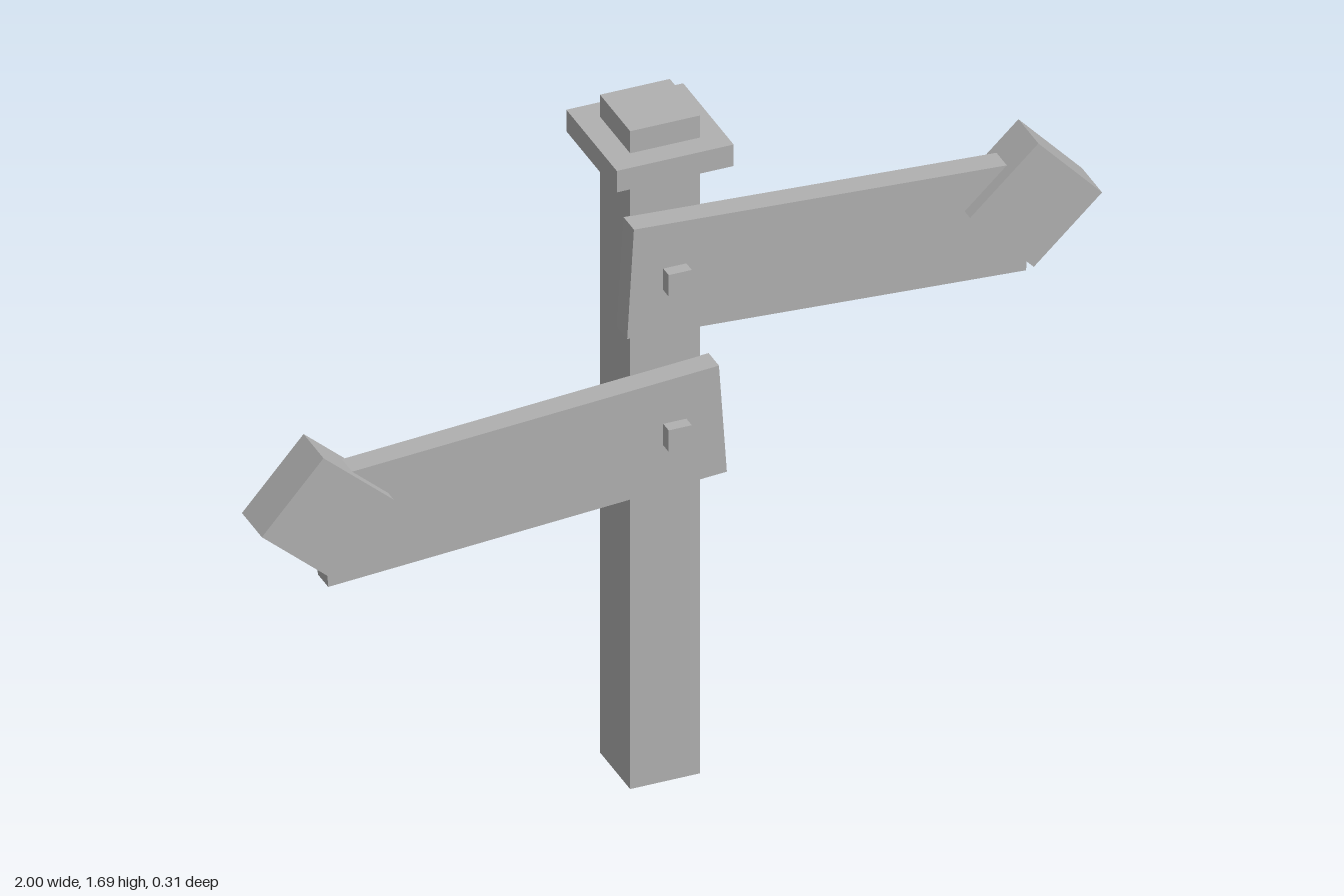
import * as THREE from 'three';

const stone = new THREE.MeshStandardMaterial({ color: 0xb0b0b0 });
stone.name = 'plain grey';
stone.side = THREE.DoubleSide;

// Box with an optional tilt (degrees) about z
function box(name, [w, h, d], [x, y, z], tilt = 0) {
  const mesh = new THREE.Mesh(new THREE.BoxGeometry(w, h, d), stone);
  mesh.name = name;
  mesh.position.set(x, y, z);
  mesh.rotation.z = THREE.MathUtils.degToRad(tilt);
  return mesh;
}

// Signboard with its turned block at the tip and a square peg
function sign(name, { board, boardTilt, tip, tipTilt, pegY }) {
  const group = new THREE.Group();
  group.name = name;
  group.add(
    box('board', [0.95, 0.277, 0.057], [...board, 0.0955], boardTilt),
    box('arrowTip', [0.222, 0.222, 0.11], [...tip, 0.099], tipTilt),
    box('peg', [0.055, 0.055, 0.034], [-0.004, pegY, 0.137])
  );
  return group;
}

export function createModel() {
  const model = new THREE.Group();
  model.name = 'signpost';

  // Post, hollow and open at the bottom (fourth box side removed)
  const post = box('post', [0.166, 1.686, 0.166], [-0.003, 0.843, -0.015]);
  const index = Array.from(post.geometry.index.array);
  index.splice(18, 6);
  post.geometry.setIndex(index);
  post.geometry.clearGroups();

  // Collar near the top of the post
  const collar = box('collar', [0.278, 0.055, 0.278], [-0.003, 1.602, -0.015]);

  model.add(
    post,
    collar,
    sign('upperSign', {
      board: [0.365, 1.3035], boardTilt: -3.3,
      tip: [0.842, 1.319], tipTilt: 43, pegY: 1.325
    }),
    sign('lowerSign', {
      board: [-0.3635, 0.901], boardTilt: 3.9,
      tip: [-0.842, 0.9265], tipTilt: -41.3, pegY: 0.927
    })
  );
  return model;
}
